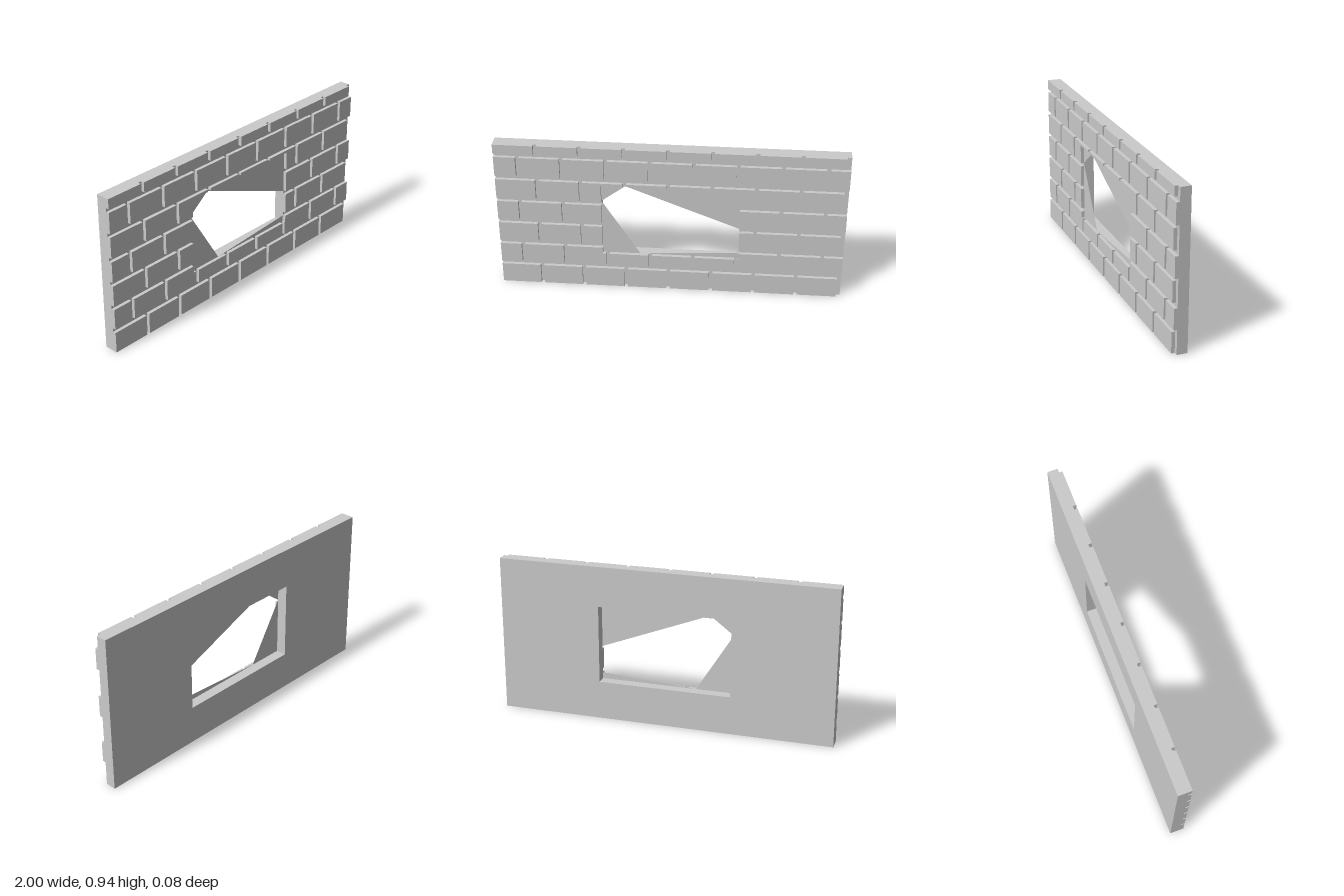
import * as THREE from 'three';

const BACK = -0.041, FACE = 0.021, FRONT = 0.041, HEIGHT = 0.935;
const hole = { x0: -0.396, x1: 0.396, y0: 0.23, y1: 0.695 };

function shapeOf(points) {
  return new THREE.Shape(points.map(([x, y]) => new THREE.Vector2(x, y)));
}

function rect(x0, x1, y0, y1) {
  return [[x0, y0], [x1, y0], [x1, y1], [x0, y1]];
}

// Splits a brick into the pieces left around the window opening
function cutByWindow(x0, x1, y0, y1) {
  const ix0 = Math.max(x0, hole.x0), ix1 = Math.min(x1, hole.x1);
  const iy0 = Math.max(y0, hole.y0), iy1 = Math.min(y1, hole.y1);
  if (ix0 >= ix1 || iy0 >= iy1) return [[x0, x1, y0, y1]];
  return [
    [x0, ix0, y0, y1], [ix1, x1, y0, y1],
    [ix0, ix1, y0, iy0], [ix0, ix1, iy1, y1],
  ].filter(([a, b, c, d]) => b - a > 1e-4 && d - c > 1e-4);
}

export function createModel() {
  const group = new THREE.Group();
  group.name = 'brickWall';
  const material = new THREE.MeshStandardMaterial({ color: 0xcccccc, flatShading: true });

  // Backing slab with the window opening
  const slabShape = shapeOf(rect(-1, 1, 0, HEIGHT));
  slabShape.holes.push(shapeOf(rect(hole.x0, hole.x1, hole.y0, hole.y1)));
  const slab = new THREE.Mesh(
    new THREE.ExtrudeGeometry(slabShape, { depth: FACE - BACK, bevelEnabled: false }), material);
  slab.position.z = BACK;
  slab.name = 'wallSlab';
  group.add(slab);

  // Running-bond bricks, every other course shifted by half a brick
  const bricks = new THREE.Group();
  bricks.name = 'bricks';
  const pitch = 0.2495, gap = 0.021, course = 0.1462, brickHeight = 0.125;
  for (let row = 0; row < 7; row++) {
    const y0 = row * course, y1 = Math.min(y0 + brickHeight, HEIGHT);
    const start = row % 2 ? -1.105 : -1;
    for (let i = 0; i < 9; i++) {
      const x0 = Math.max(-1, start + i * pitch);
      const x1 = Math.min(1, start + (i + 1) * pitch - gap);
      if (x1 - x0 < 0.01) continue;
      for (const [a, b, c, d] of cutByWindow(x0, x1, y0, y1)) {
        const brick = new THREE.Mesh(new THREE.BoxGeometry(b - a, d - c, FRONT - FACE), material);
        brick.position.set((a + b) / 2, (c + d) / 2, (FACE + FRONT) / 2);
        brick.name = 'brick';
        bricks.add(brick);
      }
    }
  }
  group.add(bricks);

  // Thin broken pane pieces flush with the slab face
  const paneMaterial = material.clone();
  paneMaterial.side = THREE.DoubleSide;
  const { x0, x1, y0, y1 } = hole;
  const shards = {
    lowerLeftShard: [[x0, y0], [-0.176, y0], [x0, 0.583]],
    lowerRightShard: [[-0.176, y0], [x1, y0], [x1, 0.267]],
    upperShard: [[x0, 0.583], [-0.257, 0.688], [x1, 0.433], [x1, y1], [x0, y1]],
  };
  for (const [name, points] of Object.entries(shards)) {
    const shard = new THREE.Mesh(new THREE.ShapeGeometry(shapeOf(points)), paneMaterial);
    shard.position.z = FACE;
    shard.name = name;
    group.add(shard);
  }
  return group;
}
